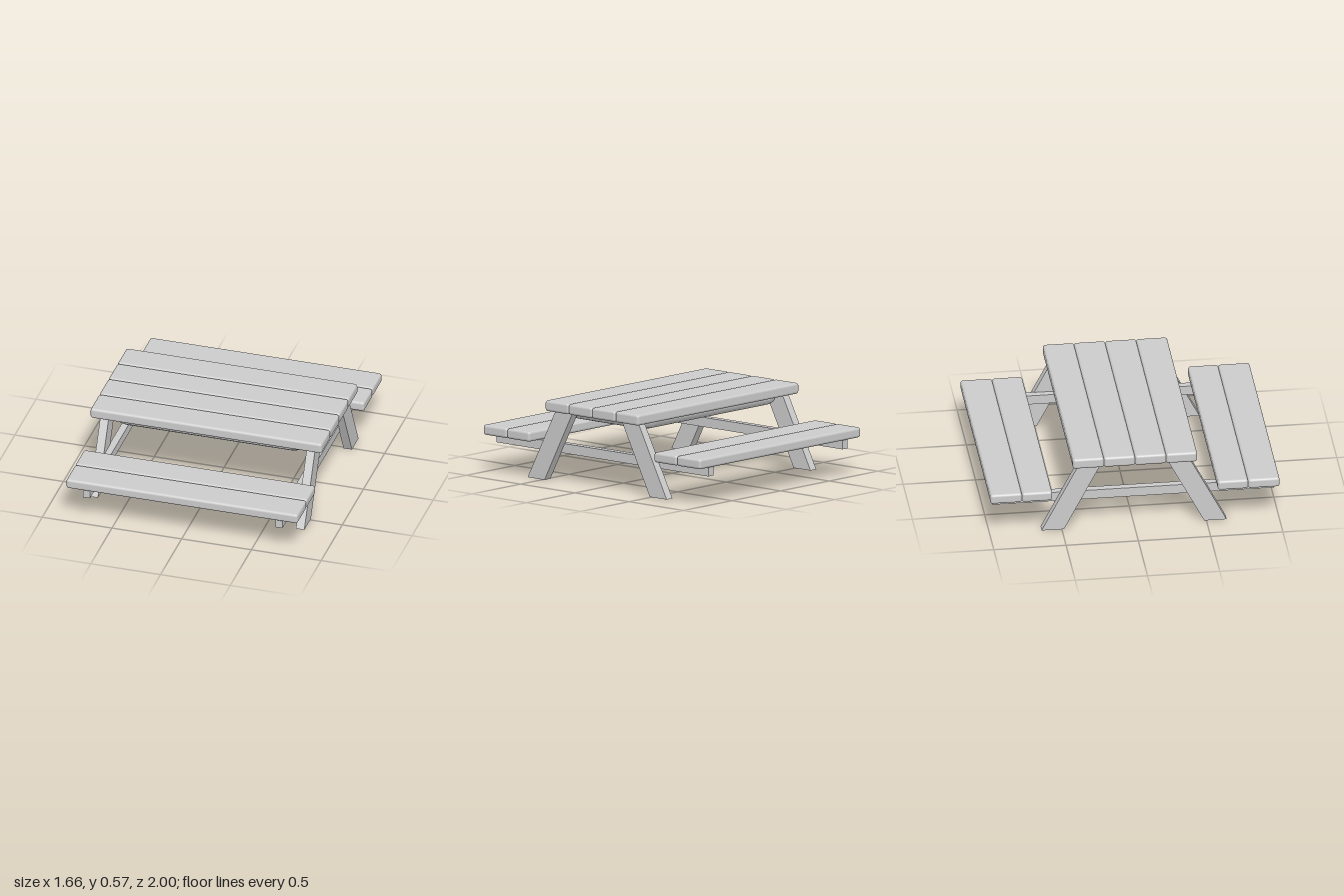
import * as THREE from 'three';
import { mergeVertices } from 'three/addons/utils/BufferGeometryUtils.js';
import { RoundedBoxGeometry } from 'three/addons/geometries/RoundedBoxGeometry.js';

const material = new THREE.MeshStandardMaterial({ color: 0xcccccc });

function add(parent, name, geometry, x = 0, y = 0, z = 0) {
  const mesh = new THREE.Mesh(geometry, material);
  mesh.name = name;
  mesh.position.set(x, y, z);
  parent.add(mesh);
  return mesh;
}

// Soft-edged board running along x between z0 and z1
function addPlank(parent, name, y0, y1, z0, z1) {
  const geometry = new RoundedBoxGeometry(1.66, y1 - y0, z1 - z0, 4, 0.018);
  add(parent, name, geometry, 0, (y0 + y1) / 2, (z0 + z1) / 2);
}

// Slanted leg: a parallelogram in the z-y plane, given thickness along x
function legGeometry() {
  const shape = new THREE.Shape([[0.485, 0], [0.64, 0], [0.38, 0.5], [0.225, 0.5]]
    .map(([z, y]) => new THREE.Vector2(z, y)));
  const geometry = new THREE.ExtrudeGeometry(shape, { depth: 0.06, bevelEnabled: false });
  return geometry.translate(0, 0, -0.03).rotateY(-Math.PI / 2);
}

// Shallow tray with rounded lower edges: a lathe pulled apart into four corners
function apronGeometry() {
  const profile = [[0, 0.43], [0.02, 0.43], [0.06, 0.434], [0.1, 0.445], [0.12, 0.46], [0.13, 0.485], [0.13, 0.505]]
    .map(([r, y]) => new THREE.Vector2(r, y));
  const segments = 32;
  let geometry = new THREE.LatheGeometry(profile, segments, Math.PI / segments);
  const p = geometry.attributes.position;
  for (let i = 0; i < p.count; i++) {
    const x = p.getX(i), z = p.getZ(i);
    if (Math.hypot(x, z) < 1e-5) continue;
    p.setX(i, x + Math.sign(x) * 0.58);
    p.setZ(i, z + Math.sign(z) * 0.26);
  }
  geometry.deleteAttribute('uv');
  geometry.deleteAttribute('normal');
  geometry = mergeVertices(geometry);
  geometry.computeVertexNormals();
  return geometry;
}

export function createModel() {
  const model = new THREE.Group();
  model.name = 'picnicTable';

  // Tabletop of four boards
  const top = new THREE.Group();
  top.name = 'tabletop';
  for (let i = 0; i < 4; i++) {
    const z = -0.43 + i * 0.215;
    addPlank(top, 'tabletopPlank', 0.495, 0.57, z, z + 0.215);
  }
  add(top, 'tabletopApron', apronGeometry());
  model.add(top);

  // Two-board bench on the front and back
  for (const side of [1, -1]) {
    const bench = new THREE.Group();
    bench.name = side > 0 ? 'frontBench' : 'backBench';
    for (const [a, b] of [[0.573, 0.782], [0.782, 1]]) {
      addPlank(bench, 'benchPlank', 0.26, 0.33, Math.min(side * a, side * b), Math.max(side * a, side * b));
    }
    model.add(bench);
  }

  // Splayed legs and the cross beam carrying the benches, at each end
  const leg = legGeometry();
  for (const side of [1, -1]) {
    const frame = new THREE.Group();
    frame.name = side > 0 ? 'leftFrame' : 'rightFrame';
    add(frame, 'frontLeg', leg, side * 0.74);
    add(frame, 'backLeg', leg, side * 0.74).rotation.y = Math.PI;
    add(frame, 'crossBeam', new THREE.BoxGeometry(0.05, 0.067, 1.95), side * 0.69, 0.2285, 0);
    model.add(frame);
  }
  return model;
}
